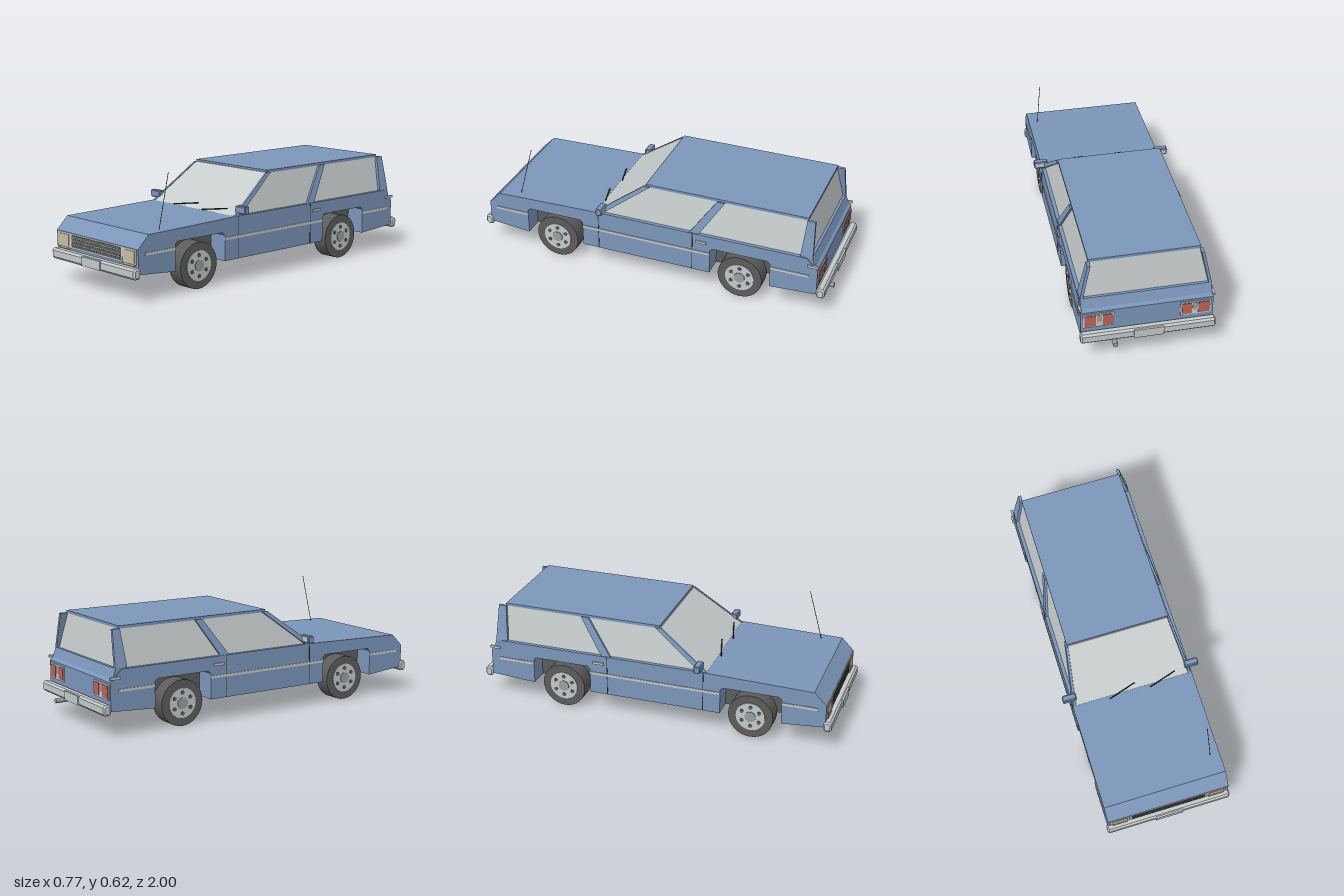
import * as THREE from 'three';

const mat = (name, color) => {
  const m = new THREE.MeshStandardMaterial({ color });
  m.name = name;
  return m;
};

export function createModel() {
  const car = new THREE.Group();
  car.name = 'stationWagon';
  const blue = mat('bodyBlue', 0x7c96ba);
  const glass = mat('paleGlass', 0xc6cbcb);
  const chrome = mat('chrome', 0xc4cacc);
  const dark = mat('darkGrey', 0x5c5c5c);
  const black = mat('wiperBlack', 0x303030);
  const grey = mat('midGrey', 0x9c9ea0);
  const lamp = mat('headlampCream', 0xc9bda0);
  const amber = mat('indicatorAmber', 0xcbb382);
  const red = mat('tailRed', 0xbb6358);

  const add = (name, geo, material, parent = car) => {
    const m = new THREE.Mesh(geo, material);
    m.name = name;
    parent.add(m);
    return m;
  };
  // box given by its limits on each axis
  const box = (name, material, [x0, x1], [y0, y1], [z0, z1], parent) => {
    const m = add(name, new THREE.BoxGeometry(x1 - x0, y1 - y0, z1 - z0), material, parent);
    m.position.set((x0 + x1) / 2, (y0 + y1) / 2, (z0 + z1) / 2);
    return m;
  };
  // side outline of [z, y] points extruded across the width, centred on x = 0
  const across = (pts, width, bevel = 0) => {
    const g = new THREE.ExtrudeGeometry(new THREE.Shape(pts.map(p => new THREE.Vector2(...p))), {
      depth: width - 2 * bevel, bevelEnabled: bevel > 0, bevelThickness: bevel,
      bevelSize: bevel, bevelOffset: -bevel, bevelSegments: 1,
    });
    return g.translate(0, 0, -width / 2 + bevel).rotateY(-Math.PI / 2);
  };
  const rod = (name, material, a, b, r, sides = 8) => {
    const p = new THREE.Vector3(...a), d = new THREE.Vector3(...b).sub(p);
    const m = add(name, new THREE.CylinderGeometry(r, r, d.length(), sides), material);
    m.position.copy(p).addScaledVector(d, 0.5);
    m.quaternion.setFromUnitVectors(new THREE.Vector3(0, 1, 0), d.normalize());
  };

  // lower body with wheel cut-outs
  add('body', across([
    [0.955, 0.142], [0.957, 0.268], [0.89, 0.335], [0.31, 0.348], [-0.88, 0.348],
    [-0.945, 0.285], [-0.945, 0.137], [-0.69, 0.122],
    [-0.69, 0.26], [-0.675, 0.275], [-0.37, 0.275], [-0.355, 0.26], [-0.355, 0.122],
    [0.385, 0.122], [0.385, 0.26], [0.4, 0.275], [0.705, 0.275], [0.72, 0.26], [0.72, 0.122],
  ], 0.68), blue);
  for (const [z0, z1] of [[0.386, 0.719], [-0.689, -0.356]])
    box('wheelWell', dark, [-0.234, 0.234], [0.124, 0.274], [z0, z1]);

  // tapered glass cabin: a unit box moved to the sloping corners
  const cabin = new THREE.BoxGeometry(1, 1, 1).toNonIndexed();
  const cp = cabin.attributes.position;
  for (let i = 0; i < cp.count; i++) {
    const top = cp.getY(i) > 0, front = cp.getZ(i) > 0;
    cp.setXYZ(i, Math.sign(cp.getX(i)) * (top ? 0.279 : 0.322), top ? 0.545 : 0.34,
      front ? (top ? 0.035 : 0.32) : (top ? -0.862 : -0.9));
  }
  cabin.computeVertexNormals();
  add('windows', cabin, glass);
  box('roof', blue, [-0.285, 0.285], [0.541, 0.556], [-0.866, 0.03]);
  add('rearWindowSill', across([[-0.86, 0.33], [-0.86, 0.352], [-0.912, 0.352], [-0.93, 0.3]], 0.67), blue);

  // pillars lean inward with the glass
  const pillar = (name, side, pts, thick) => {
    const g = across(pts, thick), p = g.attributes.position;
    for (let i = 0; i < p.count; i++)
      p.setX(i, p.getX(i) + side * (0.329 - (p.getY(i) - 0.347) * 0.215));
    g.computeVertexNormals();
    add(name, g, blue);
  };

  for (const s of [-1, 1]) {
    const span = (a, b) => (s > 0 ? [a, b] : [-b, -a]);
    pillar('frontPillar', s, [[0.315, 0.345], [0.04, 0.545], [0.005, 0.545], [0.27, 0.345]], 0.012);
    pillar('middlePillar', s, [[-0.235, 0.345], [-0.375, 0.543], [-0.418, 0.543], [-0.288, 0.345]], 0.012);
    pillar('rearPillar', s, [[-0.846, 0.352], [-0.862, 0.543], [-0.905, 0.543], [-0.914, 0.352]], 0.016);

    // side trim, door gaps and handles
    for (const [z0, z1] of [[0.72, 0.915], [-0.355, 0.385], [-0.9, -0.69]])
      box('sideTrim', chrome, span(0.338, 0.344), [0.233, 0.247], [z0, z1]);
    for (const z of [0.29, -0.255])
      box('doorGap', black, span(0.338, 0.3415), [0.124, 0.346], [z - 0.002, z + 0.002]);
    for (const z of [-0.305, -0.92])
      box('handle', chrome, span(0.335, 0.347), [0.298, 0.311], [z - 0.03, z + 0.03]);

    // door mirror
    const mirror = add('mirror', across([
      [0.25, 0.364], [0.255, 0.359], [0.28, 0.359], [0.285, 0.364],
      [0.285, 0.394], [0.28, 0.399], [0.255, 0.399], [0.25, 0.394]], 0.076, 0.004), blue);
    mirror.position.x = s * 0.347;
    box('mirrorGlass', chrome, span(0.317, 0.377), [0.366, 0.392], [0.248, 0.251]);
    box('mirrorBracket', blue, span(0.319, 0.331), [0.34, 0.37], [0.26, 0.278]);

    // headlamps and indicators
    box('headlampFrame', chrome, span(0.218, 0.326), [0.188, 0.266], [0.95, 0.96]);
    box('headlamp', lamp, span(0.23, 0.315), [0.198, 0.257], [0.955, 0.963]);
    box('indicator', amber, span(0.23, 0.315), [0.18, 0.19], [0.955, 0.964]);

    // tail lamps
    box('tailLampFrame', chrome, span(0.17, 0.328), [0.192, 0.274], [-0.95, -0.94]);
    box('tailLampOuter', red, span(0.262, 0.321), [0.2, 0.266], [-0.953, -0.945]);
    box('tailLampInner', red, span(0.178, 0.228), [0.2, 0.266], [-0.953, -0.945]);
    box('reverseLamp', grey, span(0.232, 0.258), [0.225, 0.266], [-0.952, -0.945]);

    // wheels
    for (const z of [0.55, -0.52]) {
      const wheel = new THREE.Group();
      wheel.name = 'wheel';
      wheel.position.set(s * 0.279, 0.123, z);
      wheel.rotation.z = -s * Math.PI / 2;
      car.add(wheel);
      const disc = (name, material, r, y0, y1, n) => {
        const m = add(name, new THREE.CylinderGeometry(r, r, y1 - y0, n), material, wheel);
        m.position.y = (y0 + y1) / 2;
        return m;
      };
      disc('tyre', dark, 0.123, -0.044, 0.044, 32);
      disc('hubcap', chrome, 0.08, 0.03, 0.048, 28);
      disc('hubCentre', grey, 0.03, 0.04, 0.052, 18);
      for (let i = 0; i < 6; i++) {
        const a = (i / 6) * Math.PI * 2;
        const nut = disc('wheelNut', dark, 0.011, 0.04, 0.051, 8);
        nut.position.x = Math.cos(a) * 0.055;
        nut.position.z = Math.sin(a) * 0.055;
      }
    }

    // bumper and number plate, s picks front or rear
    const c = s * 0.967;
    add('bumper', across([
      [c - 0.022, 0.13], [c - 0.012, 0.119], [c + 0.012, 0.119], [c + 0.022, 0.13],
      [c + 0.022, 0.164], [c + 0.012, 0.175], [c - 0.012, 0.175], [c - 0.022, 0.164]], 0.694, 0.008), chrome);
    box('numberPlate', chrome, [-0.077, 0.077], [0.124, 0.172], s > 0 ? [0.985, 0.995] : [-0.995, -0.985]);
  }

  // grille
  box('grilleFrame', chrome, [-0.217, 0.217], [0.186, 0.266], [0.95, 0.96]);
  for (let i = 0; i < 4; i++) {
    const y = 0.202 + i * 0.0172;
    box('grilleSlot', dark, [-0.205, 0.205], [y - 0.0065, y + 0.0065], [0.955, 0.963]);
  }

  // wipers, aerial and exhaust
  for (const x of [-0.135, 0.095])
    rod('wiper', black, [x, 0.355, 0.327], [x + 0.155, 0.376, 0.285], 0.0035, 6);
  rod('aerial', dark, [0.289, 0.335, 0.782], [0.277, 0.618, 0.708], 0.0018, 6);
  rod('exhaust', grey, [0.172, 0.098, -0.82], [0.172, 0.098, -1.0], 0.013, 16);
  return car;
}
